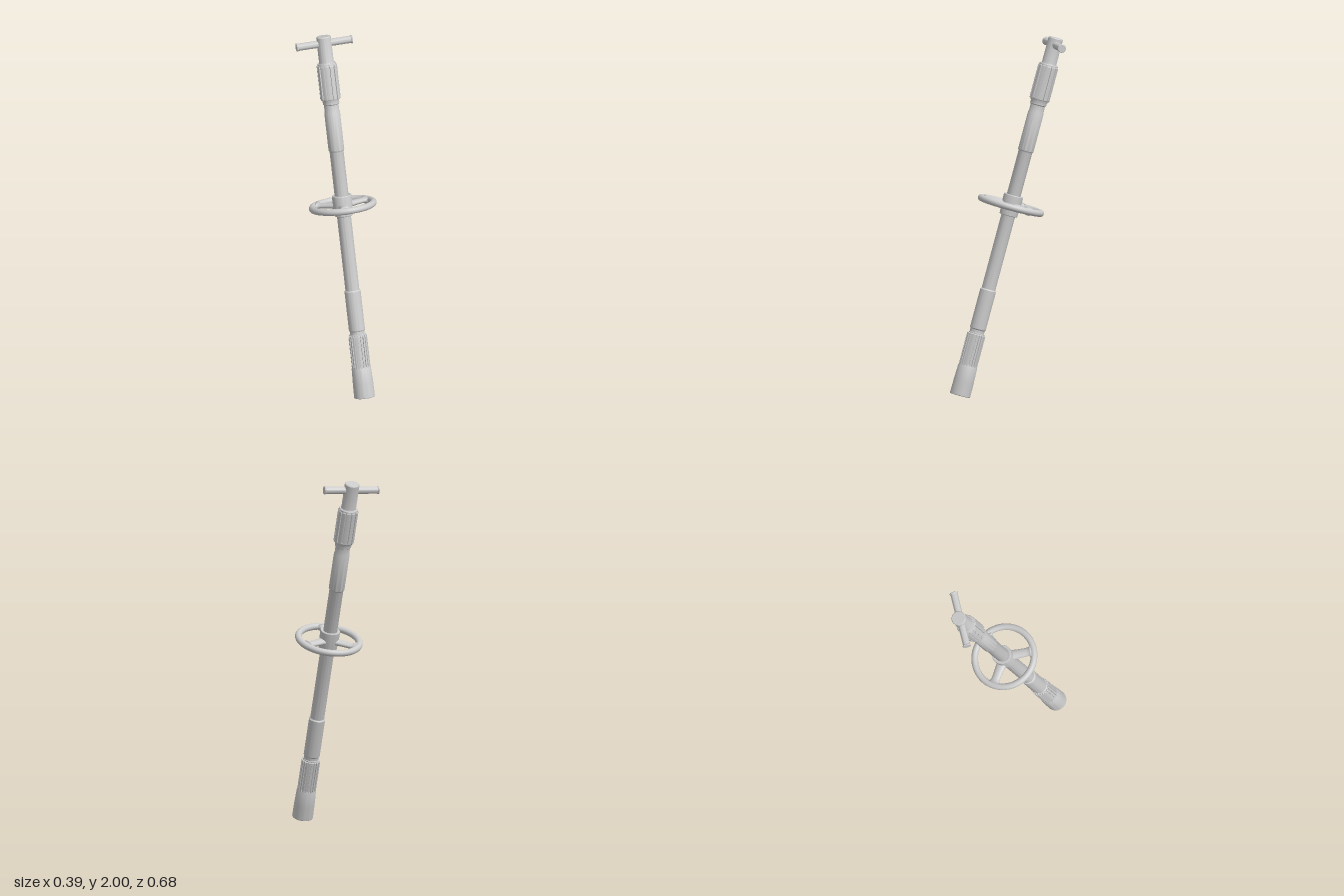
import * as THREE from 'three';
import { toCreasedNormals } from 'three/addons/utils/BufferGeometryUtils.js';

const material = new THREE.MeshStandardMaterial({ color: 0xcccccc });

function part(name, geometry, parent) {
  const mesh = new THREE.Mesh(geometry, material);
  mesh.name = name;
  parent.add(mesh);
  return mesh;
}

// Turned solid from [radius, height] pairs, with crisp steps
function turned(points, segments = 48) {
  const profile = points.map(([r, y]) => new THREE.Vector2(r, y));
  return toCreasedNormals(new THREE.LatheGeometry(profile, segments), 0.45);
}

// Grooved sleeve: a toothed ring section extruded along the shaft
function splined(teeth, outer, inner, gap, bottom, top, bevel) {
  const shape = new THREE.Shape();
  const step = (Math.PI * 2) / teeth;
  for (let i = 0; i < teeth; i++) {
    const a = i * step;
    const sweep = (r, from, to) => {
      for (let k = 0; k <= 3; k++) {
        const b = a + step * (from + ((to - from) * k) / 3);
        if (i === 0 && k === 0 && from === 0) shape.moveTo(r * Math.cos(b), r * Math.sin(b));
        else shape.lineTo(r * Math.cos(b), r * Math.sin(b));
      }
    };
    sweep(inner, 0, gap);
    sweep(outer, gap + 0.02, 0.98);
  }
  const geometry = new THREE.ExtrudeGeometry(shape, {
    depth: top - bottom - 2 * bevel,
    bevelEnabled: true, bevelThickness: bevel, bevelSize: 0.003, bevelOffset: -0.003, bevelSegments: 1,
  });
  geometry.rotateX(-Math.PI / 2);
  geometry.translate(0, bottom + bevel, 0);
  return toCreasedNormals(geometry, 0.4);
}

export function createModel() {
  const model = new THREE.Group();
  model.name = 'valveKey';

  // Everything is built upright, then leaned along the shaft direction
  const tool = new THREE.Group();
  tool.name = 'leaningTool';
  model.add(tool);
  const up = new THREE.Vector3(-0.092, 1.972, -0.584).normalize();
  const front = new THREE.Vector3(1, 0.047, 0.012).cross(up).normalize();
  const side = up.clone().cross(front);
  tool.quaternion.setFromRotationMatrix(new THREE.Matrix4().makeBasis(side, up, front));
  tool.position.set(0.053, 0.017, 0.286);

  // Hollow socket at the foot
  part('socket', turned([
    [0, 0.12], [0.038, 0.12], [0.038, 0.004], [0.041, 0], [0.056, 0], [0.058, 0.003],
    [0.057, 0.08], [0.054, 0.165], [0.05, 0.175], [0.04, 0.175],
  ]), tool);
  part('lowerGrip', splined(20, 0.052, 0.046, 0.32, 0.165, 0.355, 0.004), tool);

  // Stepped shaft
  part('shaft', turned([
    [0, 0.17], [0.044, 0.17], [0.044, 0.36], [0.041, 0.362], [0.041, 0.378], [0.045, 0.384],
    [0.045, 0.605], [0.039, 0.612], [0.039, 1.4], [0.041, 1.405], [0.044, 1.41],
    [0.044, 1.625], [0.041, 1.634], [0.041, 1.67], [0.046, 1.675], [0.046, 1.69],
    [0.054, 1.71], [0.048, 1.71], [0.048, 1.9], [0, 1.9],
  ]), tool);
  part('upperGrip', splined(12, 0.057, 0.05, 0.2, 1.7, 1.898, 0.006), tool);

  // Head with its collar
  part('head', turned([
    [0, 1.885], [0.052, 1.885], [0.052, 1.903], [0.049, 1.907], [0.043, 1.907],
    [0.041, 1.915], [0.041, 2.053], [0.037, 2.058], [0, 2.058],
  ]), tool);

  // Cross bar with lipped ends
  const bar = part('crossBar', turned([
    [0, -0.16], [0.021, -0.16], [0.0235, -0.158], [0.0235, -0.154], [0.0205, -0.15],
    [0.0205, 0.15], [0.0235, 0.154], [0.0235, 0.158], [0.021, 0.16], [0, 0.16],
  ], 32), tool);
  bar.rotation.z = -Math.PI / 2;
  bar.position.y = 2.018;

  // Hand wheel: hub, rim and three spokes
  const wheel = new THREE.Group();
  wheel.name = 'handWheel';
  wheel.position.y = 1.093;
  tool.add(wheel);
  part('hub', turned([
    [0.038, -0.058], [0.047, -0.058], [0.05, -0.055], [0.053, -0.02],
    [0.055, 0.03], [0.055, 0.056], [0.053, 0.06], [0.045, 0.06], [0.038, 0.057],
  ]), wheel);
  const rim = new THREE.TorusGeometry(0.171, 0.0185, 20, 80);
  rim.rotateX(Math.PI / 2);
  part('rim', rim, wheel);
  for (let i = 0; i < 3; i++) {
    const spoke = new THREE.LatheGeometry([
      [0.029, 0.04], [0.026, 0.08], [0.024, 0.128], [0.026, 0.141], [0.031, 0.15], [0.038, 0.156], [0, 0.168],
    ].map(([r, y]) => new THREE.Vector2(r, y)), 28);
    spoke.scale(1, 1, 0.62);
    spoke.rotateX(Math.PI / 2);
    spoke.rotateY(-0.1 + (i * Math.PI * 2) / 3);
    part('spoke', spoke, wheel);
  }
  return model;
}
